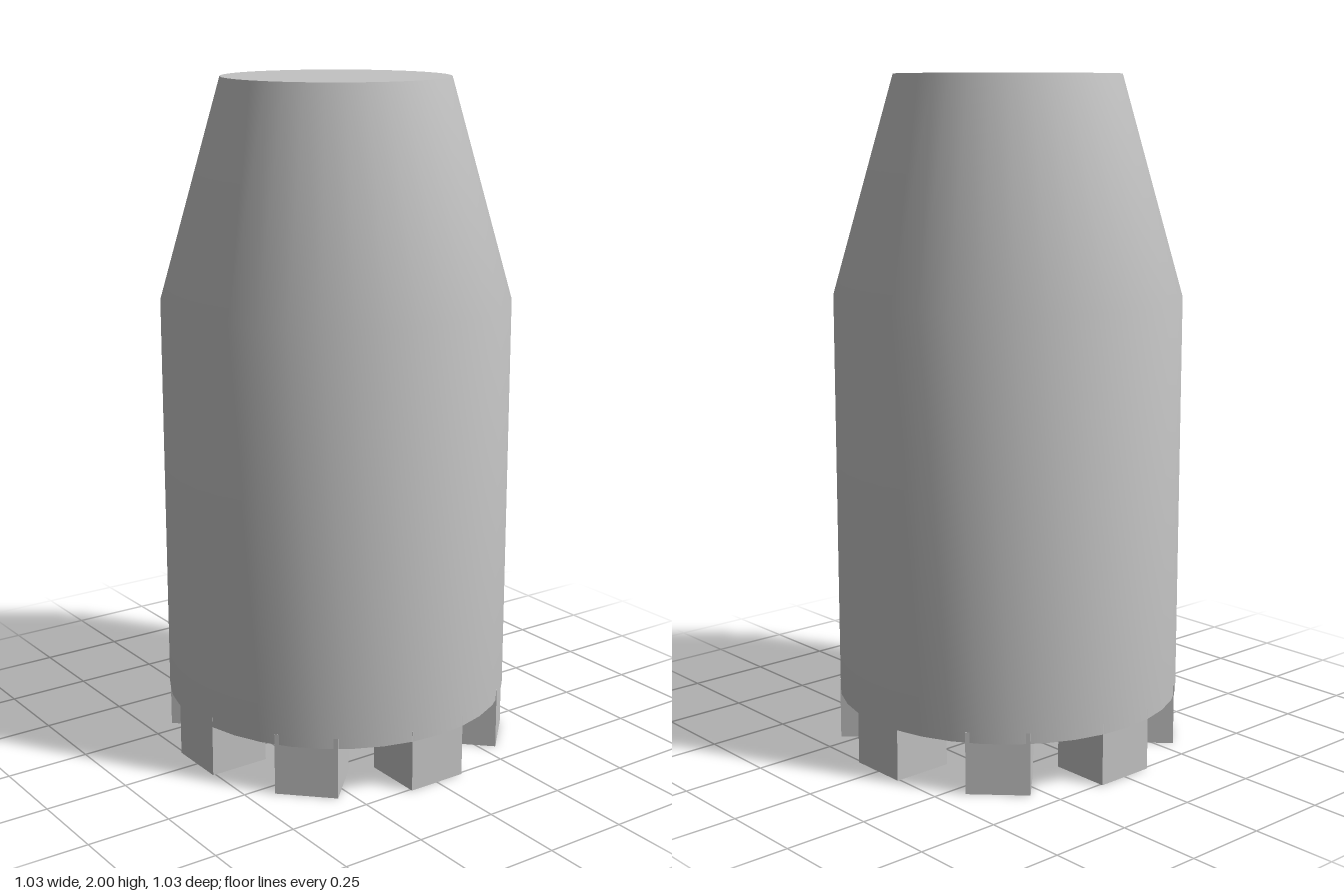
import * as THREE from 'three';
import { toCreasedNormals } from 'three/addons/utils/BufferGeometryUtils.js';

export function createModel() {
  const model = new THREE.Group();
  model.name = 'toothedNozzle';
  const grey = new THREE.MeshStandardMaterial({ color: 0xc2c2c2 });
  grey.name = 'grey';

  // Turned body: blind bore, flat underside, straight wall, tapered nose, flat top
  const profile = [
    [0, 1.36], [0.185, 1.36], [0.185, 0.153], [0.516, 0.153],
    [0.516, 1.36], [0.333, 2], [0, 2],
  ].map(([r, y]) => new THREE.Vector2(r, y));
  const body = new THREE.Mesh(toCreasedNormals(new THREE.LatheGeometry(profile, 36), 0.6), grey);
  body.name = 'body';
  model.add(body);

  // Ring of eight square teeth, set a little way into the underside
  const teeth = new THREE.Group();
  teeth.name = 'teeth';
  const size = 0.184;
  const toothGeometry = new THREE.BoxGeometry(size, size, size);
  for (let i = 0; i < 8; i++) {
    const angle = (i * Math.PI) / 4;
    const tooth = new THREE.Mesh(toothGeometry, grey);
    tooth.name = `tooth${i + 1}`;
    tooth.position.set(Math.sin(angle) * 0.416, size / 2, Math.cos(angle) * 0.416);
    tooth.rotation.y = angle;
    teeth.add(tooth);
  }
  model.add(teeth);

  return model;
}
